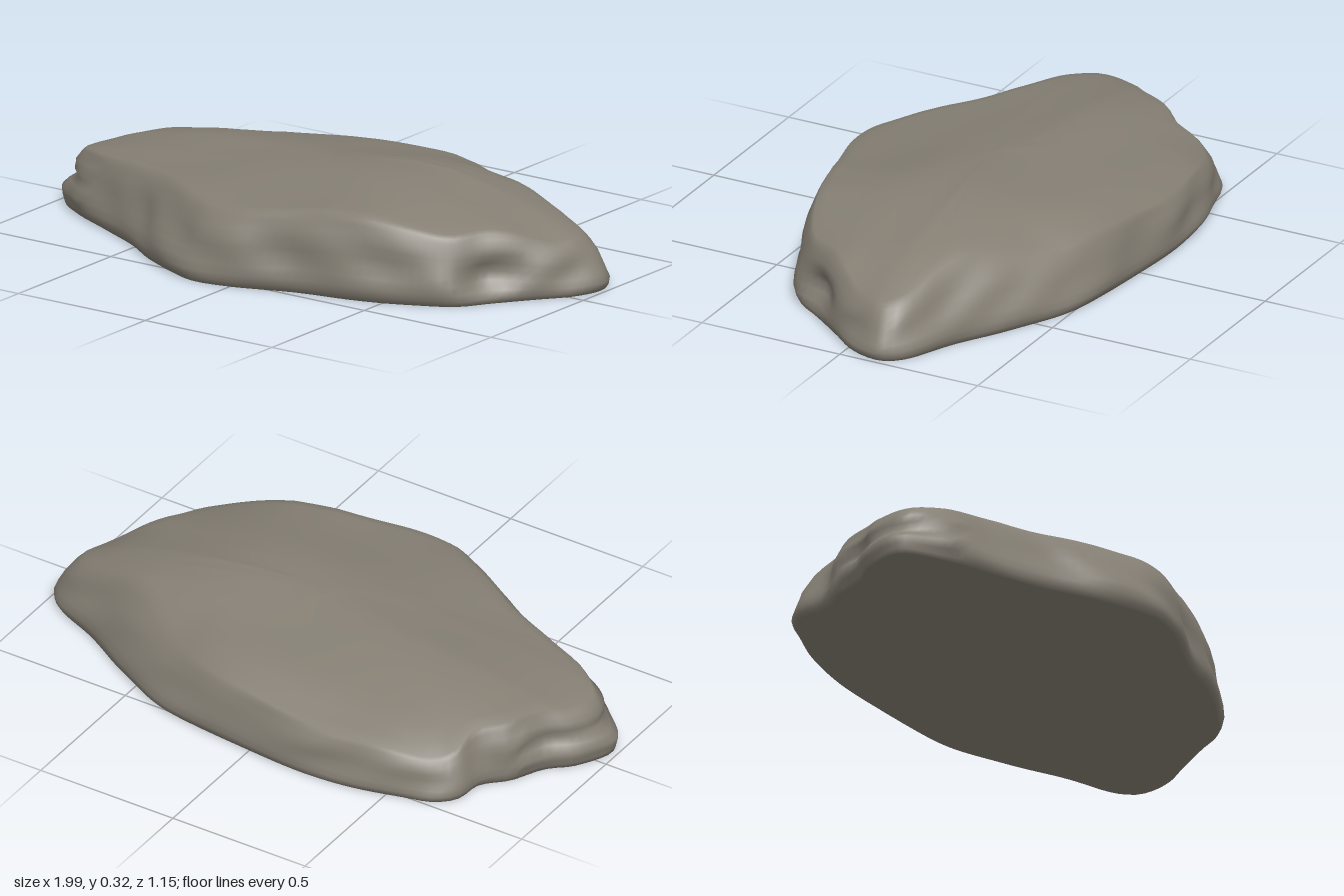
import * as THREE from 'three';

// Footprint seen from above, clockwise from the left tip: x, z, inset of the upper rim
const OUTLINE = [
  [-1, 0.08, 0.09], [-0.94, -0.06, 0.07], [-0.87, -0.13, 0.05], [-0.81, -0.25, 0.05],
  [-0.735, -0.33, 0.05], [-0.72, -0.43, 0.06], [-0.66, -0.49, 0.06], [-0.57, -0.52, 0.05],
  [-0.4, -0.56, 0.05], [-0.22, -0.58, 0.05], [0, -0.565, 0.05], [0.2, -0.545, 0.06],
  [0.4, -0.5, 0.1], [0.6, -0.405, 0.15], [0.8, -0.285, 0.15], [0.96, -0.2, 0.11],
  [1, -0.14, 0.1], [0.97, -0.02, 0.09], [0.9, 0.08, 0.08], [0.8, 0.21, 0.08],
  [0.73, 0.31, 0.07], [0.6, 0.38, 0.06], [0.4, 0.45, 0.06], [0.2, 0.49, 0.05], [0, 0.56, 0.07],
  [-0.13, 0.575, 0.09], [-0.22, 0.55, 0.11], [-0.38, 0.475, 0.12], [-0.52, 0.38, 0.11],
  [-0.7, 0.28, 0.09], [-0.88, 0.19, 0.08],
];
// Crest height along x and along z
const ALONG_X = [[-1, 0.16], [-0.9, 0.195], [-0.8, 0.22], [-0.6, 0.253], [-0.2, 0.29], [0, 0.304],
  [0.28, 0.325], [0.42, 0.318], [0.6, 0.283], [0.75, 0.245], [0.9, 0.185], [1, 0.13]];
const ALONG_Z = [[-0.58, 0.17], [-0.5, 0.21], [-0.4, 0.26], [-0.2, 0.306], [-0.08, 0.325],
  [0.1, 0.317], [0.2, 0.303], [0.4, 0.278], [0.5, 0.258], [0.58, 0.21]];
// Side wall: share of rim height, share of rim inset, extra inset
const WALL = [[0, 0, 0.018], [0.08, 0, 0.006], [0.18, 0, 0], [0.3, 0.04, 0.003], [0.42, 0.13, 0.004],
  [0.54, 0.26, 0.004], [0.66, 0.42, 0], [0.78, 0.59, 0], [0.88, 0.75, 0], [0.95, 0.88, 0], [1, 1.05, 0]];
const TOP = [0.94, 0.86, 0.76, 0.64, 0.5, 0.35, 0.18, 0];
const SEGMENTS = 156;

function sample(table, v) {
  for (let i = 1; i < table.length; i++) {
    const [a, ya] = table[i - 1], [b, yb] = table[i];
    if (v <= b) return THREE.MathUtils.lerp(ya, yb, THREE.MathUtils.clamp((v - a) / (b - a), 0, 1));
  }
  return table[table.length - 1][1];
}

const bell = (distanceSq, radius) => Math.exp(-distanceSq / (radius * radius));

// Upper face: gentle ripples, with worn corners and a low shelf at the +x tip
function crest(x, z) {
  const ripple = 0.003 * Math.sin(7 * x + 11 * z) + 0.003 * Math.sin(13 * z - 5 * x + 1);
  const dip = (px, pz, r, depth) => depth * bell((x - px) ** 2 + (z - pz) ** 2, r);
  return sample(ALONG_X, x) * sample(ALONG_Z, z) / 0.325 + ripple
    - dip(0.46, -0.5, 0.2, 0.075) - dip(-0.7, -0.5, 0.16, 0.055) - dip(0.93, 0.03, 0.11, 0.03)
    - dip(0.8, -0.3, 0.12, 0.035) - dip(0.7, 0.35, 0.16, 0.03);
}

// Weathered hollows and ledges on the side wall
function hollow(x, y, z) {
  const pit = (px, py, pz, r, depth) =>
    depth * bell((x - px) ** 2 + (z - pz) ** 2 + 4 * (y - py) ** 2, r);
  const waves = 0.005 * Math.sin(17 * x + 25 * y - 9 * z) + 0.004 * Math.sin(31 * z + 38 * y + 6 * x);
  const ledges = x < -0.82 ? 0.012 * Math.sin(75 * y) : 0;
  return waves + ledges + pit(0.8, 0.08, 0.22, 0.12, 0.05) + pit(0.97, 0.06, 0, 0.1, 0.02)
    + pit(-1, 0.12, 0.08, 0.13, 0.03) + pit(-0.45, 0.14, 0.42, 0.16, 0.02)
    + pit(0.7, 0.08, -0.34, 0.2, 0.02);
}

function buildRock() {
  const curve = new THREE.CatmullRomCurve3(
    OUTLINE.map(([x, z, inset]) => new THREE.Vector3(x, inset, z)), true, 'centripetal');
  const edge = curve.getSpacedPoints(SEGMENTS).slice(0, SEGMENTS);
  const moveIn = (p, d) => {
    const dx = -0.55 * p.x, dz = -p.z, len = Math.hypot(dx, dz) || 1;
    return [p.x + dx / len * d, p.z + dz / len * d];
  };
  const rings = [edge.map(() => [0, 0, 0])]; // centre of the flat base
  const rims = edge.map((p) => moveIn(p, p.y));

  for (const [rise, share, extra] of WALL) {
    rings.push(edge.map((p, i) => {
      const y = crest(...rims[i]) * rise;
      const fade = Math.sin(Math.PI * Math.min(1, 0.1 + rise * 0.9));
      const [x, z] = moveIn(p, p.y * share + extra + fade * hollow(p.x, y, p.z));
      return [x, rise === 1 ? crest(x, z) : y, z];
    }));
  }
  const rim = rings[rings.length - 1];
  for (const s of TOP) {
    rings.push(rim.map(([x, , z]) => [x * s, crest(x * s, z * s), z * s]));
  }

  const index = [];
  for (let r = 0; r < rings.length - 1; r++) {
    for (let i = 0; i < SEGMENTS; i++) {
      const next = (i + 1) % SEGMENTS;
      const a = r * SEGMENTS + i, b = r * SEGMENTS + next;
      const c = a + SEGMENTS, d = b + SEGMENTS;
      if (r < rings.length - 2) index.push(b, c, d);
      if (r > 0) index.push(a, c, b);
    }
  }
  const geometry = new THREE.BufferGeometry();
  geometry.setAttribute('position', new THREE.Float32BufferAttribute(rings.flat(2), 3));
  geometry.setIndex(index);
  geometry.computeVertexNormals();
  return geometry;
}

export function createModel() {
  const group = new THREE.Group();
  group.name = 'flatRock';
  const stone = new THREE.MeshStandardMaterial({ color: 0x847e73 });
  stone.name = 'grey brown stone';
  const rock = new THREE.Mesh(buildRock(), stone);
  rock.name = 'rockSlab';
  group.add(rock);
  return group;
}
